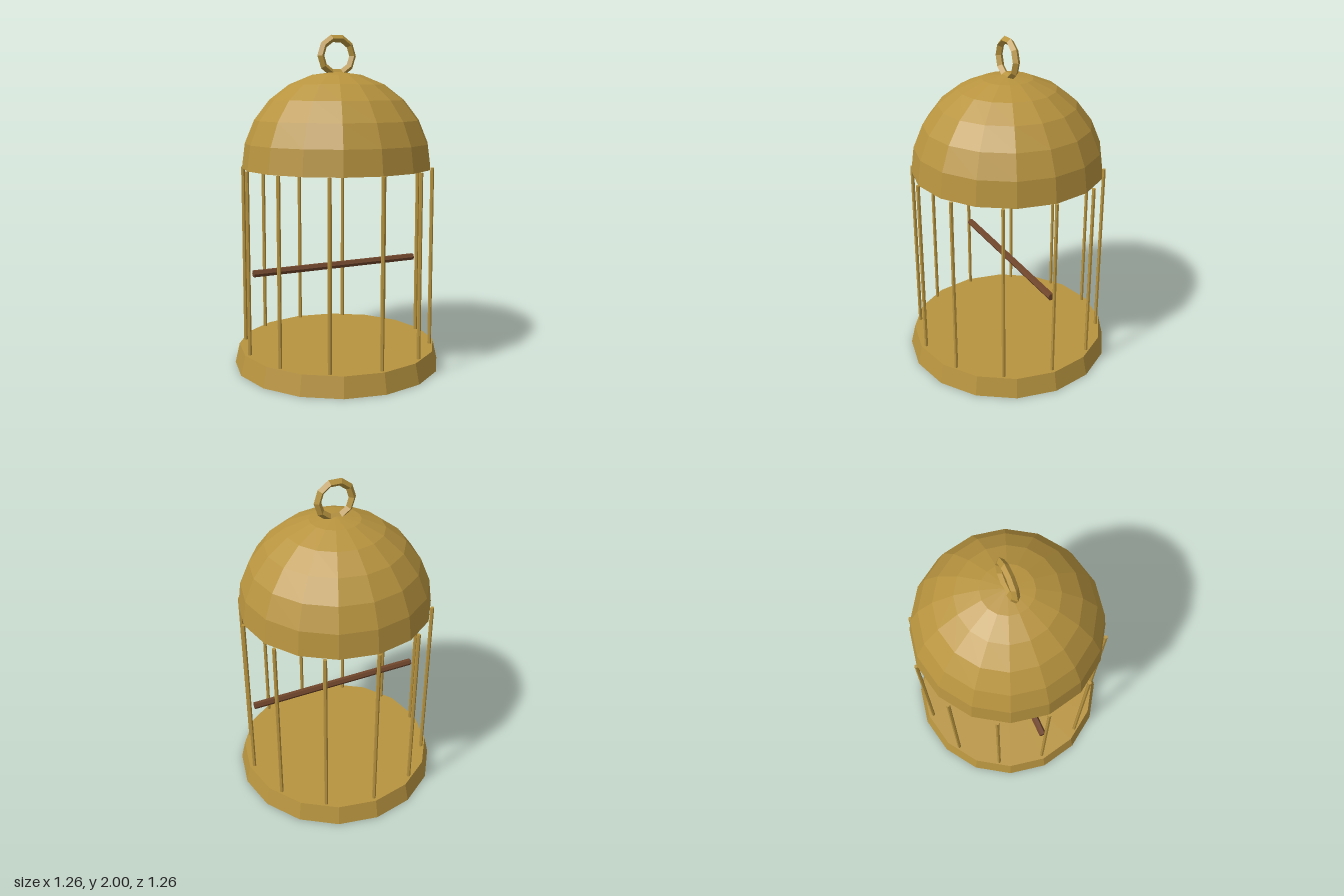
import * as THREE from 'three';

const brass = new THREE.MeshStandardMaterial({ color: 0xb8943f, flatShading: true });
const brassShell = new THREE.MeshStandardMaterial({ color: 0xb8943f, flatShading: true, side: THREE.DoubleSide });
const wood = new THREE.MeshStandardMaterial({ color: 0x70462c, flatShading: true });

const BASE_TOP = 0.12, DOME_Y = 1.215, CAGE_R = 0.575;

export function createModel() {
  const cage = new THREE.Group();
  cage.name = 'birdcage';

  const add = (name, geometry, material, x, y, z, parent = cage) => {
    const mesh = new THREE.Mesh(geometry, material);
    mesh.name = name;
    mesh.position.set(x, y, z);
    parent.add(mesh);
    return mesh;
  };

  // Tapered tray that closes the bottom
  add('base', new THREE.CylinderGeometry(0.605, 0.632, BASE_TOP, 16), brass, 0, BASE_TOP / 2, 0);

  // Twelve upright bars between tray and dome
  const bars = new THREE.Group();
  bars.name = 'bars';
  cage.add(bars);
  const barHeight = DOME_Y - BASE_TOP;
  const barGeometry = new THREE.CylinderGeometry(0.0115, 0.0115, barHeight, 6);
  for (let i = 0; i < 12; i++) {
    const a = (i / 12) * Math.PI * 2;
    add('bar', barGeometry, brass, Math.cos(a) * CAGE_R, BASE_TOP + barHeight / 2, Math.sin(a) * CAGE_R, bars);
  }

  // Hollow half-sphere roof, open underneath
  add('dome', new THREE.SphereGeometry(0.572, 16, 6, 0, Math.PI * 2, 0, Math.PI / 2), brassShell, 0, DOME_Y, 0);

  // Hanging ring, upright on top of the dome
  add('hangingRing', new THREE.TorusGeometry(0.105, 0.0225, 4, 10), brass, 0, 1.879, 0);

  // Wooden perch running left to right
  add('perch', new THREE.CylinderGeometry(0.022, 0.022, 1.09, 6), wood, 0, 0.61, 0).rotation.z = Math.PI / 2;

  return cage;
}
